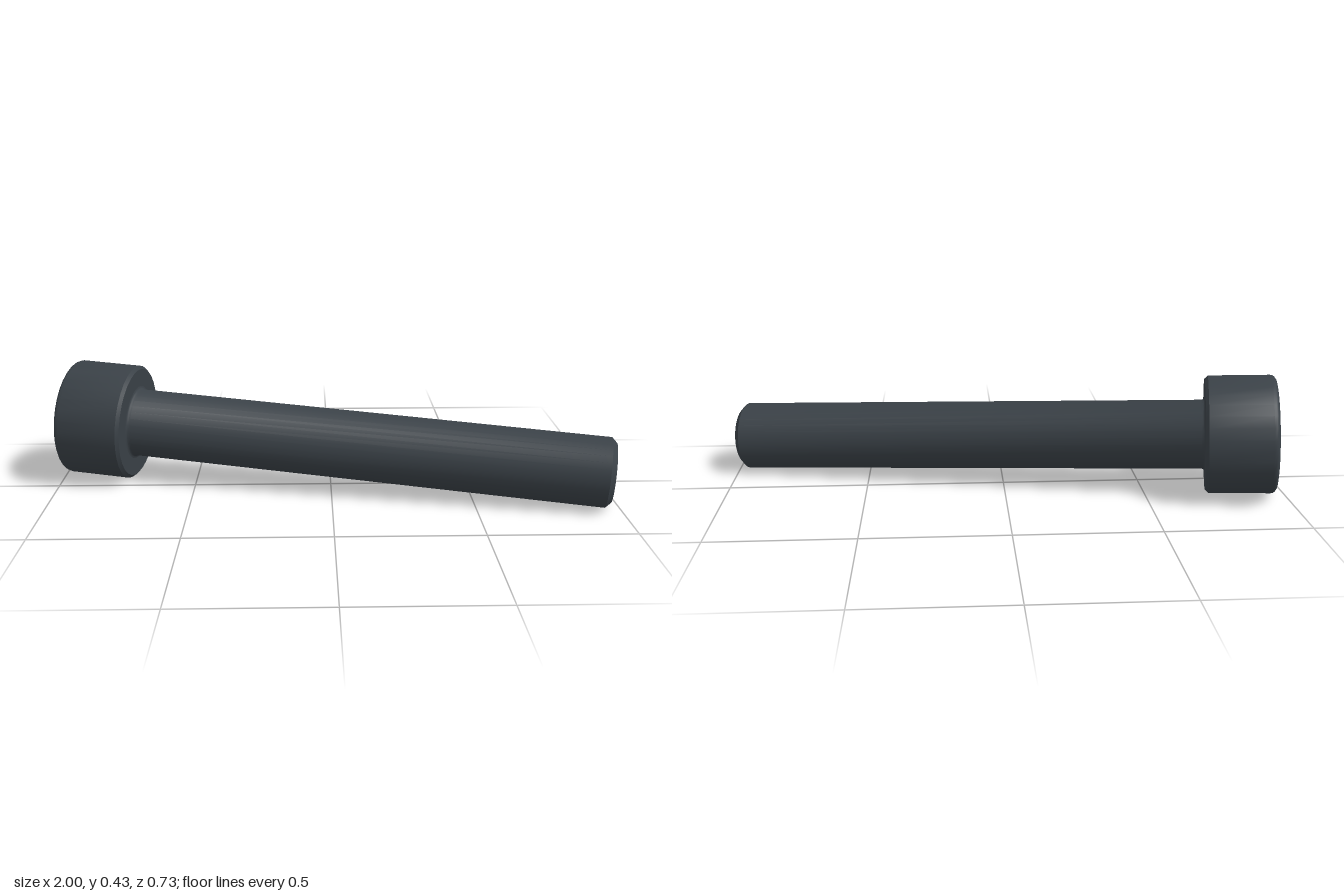
import * as THREE from 'three';
import { toCreasedNormals } from 'three/addons/utils/BufferGeometryUtils.js';

const SEG = 32;
const LENGTH = 1.98;        // overall, head top to tip
const SHANK_R = 0.1238;
const HEAD_R = 0.2104;
const HEAD_H = 0.2475;
const SOCKET_R = 0.1143;    // across-corner radius of the hex
const SOCKET_DEPTH = 0.124;
const SOCKET_TURN = THREE.MathUtils.degToRad(-35);

const ring = (r, n, turn = 0) => Array.from({ length: n }, (_, i) => {
  const a = turn + (i / n) * Math.PI * 2;
  return new THREE.Vector2(r * Math.cos(a), r * Math.sin(a));
});

// quarter arc from angle a0 to a1 around (cx, cy)
const arc = (cx, cy, r, a0, a1, n = 4) => Array.from({ length: n + 1 }, (_, i) => {
  const a = a0 + ((a1 - a0) * i) / n;
  return new THREE.Vector2(cx + r * Math.cos(a), cy + r * Math.sin(a));
});

const lathe = (points) => toCreasedNormals(new THREE.LatheGeometry(points, SEG), 0.6);

// flat plate facing local +y
const plate = (shape, y) => new THREE.ShapeGeometry(shape).rotateX(-Math.PI / 2).translate(0, y, 0);

export function createModel() {
  const model = new THREE.Group();
  const darkSteel = new THREE.MeshStandardMaterial({ color: 0x3a4147 });
  darkSteel.name = 'darkSteel';

  // The bolt is built along local y with the top of the head at y = 0
  const bolt = new THREE.Group();
  bolt.name = 'socketHeadBolt';
  const add = (name, geometry) => {
    const mesh = new THREE.Mesh(geometry, darkSteel);
    mesh.name = name;
    bolt.add(mesh);
  };
  const v = (x, y) => new THREE.Vector2(x, y);

  // Shank with chamfered tip and a small fillet under the head
  const chamfer = 0.0186, fillet = 0.012;
  add('shank', lathe([
    v(0, -LENGTH),
    v(SHANK_R - chamfer, -LENGTH),
    v(SHANK_R, -LENGTH + chamfer),
    ...arc(SHANK_R + fillet, -HEAD_H - fillet, fillet, Math.PI, Math.PI / 2),
  ]));

  // Head wall: chamfered underside, rounded top edge
  const under = 0.011, round = 0.02;
  add('head', lathe([
    v(SHANK_R + fillet, -HEAD_H),
    v(HEAD_R - under, -HEAD_H),
    v(HEAD_R, -HEAD_H + under),
    ...arc(HEAD_R - round, -round, round, 0, Math.PI / 2),
  ]));

  // Head top face with the hexagonal opening
  const top = new THREE.Shape(ring(HEAD_R - round, SEG));
  top.holes.push(new THREE.Path(ring(SOCKET_R, 6, SOCKET_TURN).reverse()));
  add('headTop', plate(top, 0));

  // Socket walls, mirrored so they face inward, and the socket floor
  const walls = new THREE.CylinderGeometry(
    SOCKET_R, SOCKET_R, SOCKET_DEPTH, 6, 1, true, -Math.PI / 2 - SOCKET_TURN,
  ).toNonIndexed().scale(-1, 1, 1).translate(0, -SOCKET_DEPTH / 2, 0);
  walls.computeVertexNormals();
  add('socketWalls', walls);
  add('socketFloor', plate(new THREE.Shape(ring(SOCKET_R, 6, SOCKET_TURN)), -SOCKET_DEPTH));

  // Tilt the bolt: local y points out of the head, opposite to the tip
  const out = v3(-0.9767, 0.0503, -0.2087).normalize();
  const side = v3(-0.2087, 0, 0.9767).normalize();
  const basis = new THREE.Matrix4().makeBasis(side, out, side.clone().cross(out));
  bolt.quaternion.setFromRotationMatrix(basis);
  model.add(bolt);

  // Centre on x and z, rest on y = 0
  model.updateMatrixWorld(true);
  const box = new THREE.Box3().setFromObject(model, true);
  const c = box.getCenter(v3(0, 0, 0));
  bolt.position.set(-c.x, -box.min.y, -c.z);
  return model;
}

function v3(x, y, z) {
  return new THREE.Vector3(x, y, z);
}
